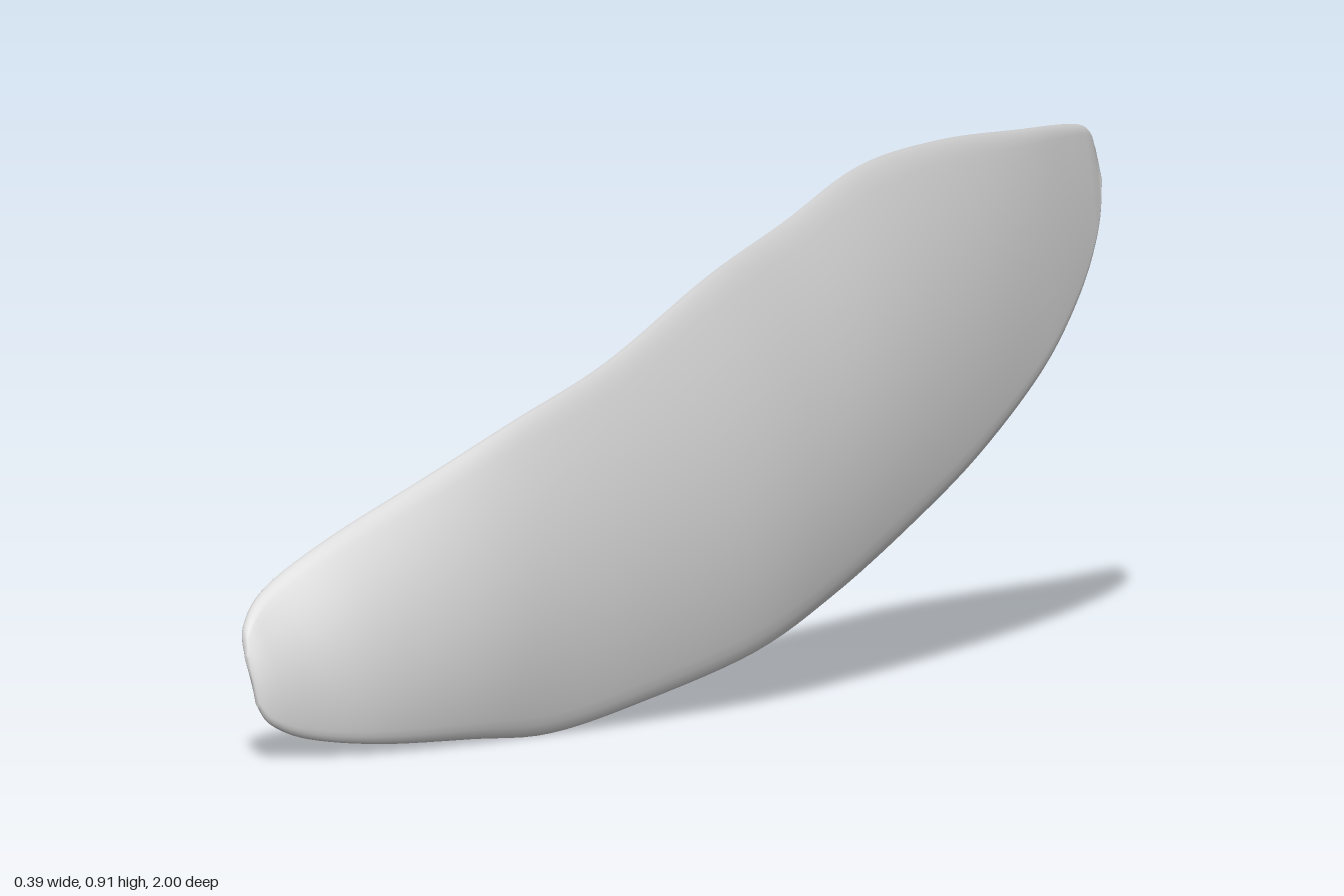
import * as THREE from 'three';

// Sections along the blade: z, bottom y, top y, then x at the bottom, middle and top
const SECTIONS = [
  [1.0, 0.10, 0.18, -0.143, -0.153, -0.168],
  [0.98, 0.065, 0.235, -0.127, -0.142, -0.187],
  [0.92, 0.037, 0.295, -0.093, -0.108, -0.185],
  [0.8, 0.02, 0.37, -0.03, -0.042, -0.14],
  [0.62, 0.012, 0.46, 0.028, 0.03, -0.07],
  [0.45, 0.005, 0.54, 0.066, 0.077, -0.015],
  [0.25, 0.042, 0.62, 0.116, 0.122, 0.028],
  [0.0, 0.10, 0.74, 0.16, 0.162, 0.052],
  [-0.2, 0.175, 0.81, 0.173, 0.173, 0.061],
  [-0.4, 0.265, 0.885, 0.176, 0.172, 0.07],
  [-0.6, 0.365, 0.908, 0.172, 0.163, 0.09],
  [-0.8, 0.49, 0.904, 0.158, 0.147, 0.112],
  [-0.92, 0.605, 0.898, 0.144, 0.135, 0.113],
  [-0.98, 0.71, 0.885, 0.135, 0.126, 0.111],
  [-1.0, 0.79, 0.85, 0.13, 0.122, 0.114],
];
const THICKNESS = 0.016;
const STEPS = 84;
const AROUND = 48;

// Closed thin shell: each ring climbs the outer face and returns down the inner face
function bladeGeometry() {
  const curve = (pick) => new THREE.CatmullRomCurve3(
    SECTIONS.map((s) => new THREE.Vector3(...pick(s))), false, 'catmullrom', 0.5);
  const bottom = curve((s) => [s[3], s[1], s[0]]);
  const middle = curve((s) => [s[4], (s[1] + s[2]) / 2, s[0]]);
  const top = curve((s) => [s[5], s[2], s[0]]);
  const positions = [];
  const index = [];

  for (let i = -1; i <= STEPS + 1; i++) {
    const u = THREE.MathUtils.clamp(i / STEPS, 0, 1);
    const b = bottom.getPoint(u), m = middle.getPoint(u), t = top.getPoint(u);
    const closed = i < 0 || i > STEPS; // end rings collapse to a point
    const endTaper = 0.4 + 0.6 * Math.min(1, 12 * Math.min(u, 1 - u));
    for (let j = 0; j < AROUND; j++) {
      const a = (j / AROUND) * Math.PI * 2;
      const v = closed ? 0.5 : (1 - Math.cos(a)) / 2;
      // parabola through the three section points
      const x = b.x * (1 - v) * (1 - 2 * v) + m.x * 4 * v * (1 - v) + t.x * v * (2 * v - 1);
      const side = THREE.MathUtils.clamp(2.5 * Math.sin(a), -1, 1);
      const offset = closed ? 0 : side * endTaper * THICKNESS / 2;
      positions.push(x + offset, b.y + (t.y - b.y) * v, b.z);
    }
  }
  for (let i = 0; i < STEPS + 2; i++) {
    for (let j = 0; j < AROUND; j++) {
      const k = (j + 1) % AROUND;
      const p = i * AROUND + j, q = i * AROUND + k;
      index.push(p, p + AROUND, q, q, p + AROUND, q + AROUND);
    }
  }
  const geometry = new THREE.BufferGeometry();
  geometry.setAttribute('position', new THREE.Float32BufferAttribute(positions, 3));
  geometry.setIndex(index);
  geometry.computeVertexNormals();
  return geometry;
}

export function createModel() {
  const group = new THREE.Group();
  group.name = 'curvedBlade';
  const paleGrey = new THREE.MeshStandardMaterial({ color: 0xcccccc });
  paleGrey.name = 'paleGrey';
  const blade = new THREE.Mesh(bladeGeometry(), paleGrey);
  blade.name = 'blade';
  group.add(blade);
  return group;
}
